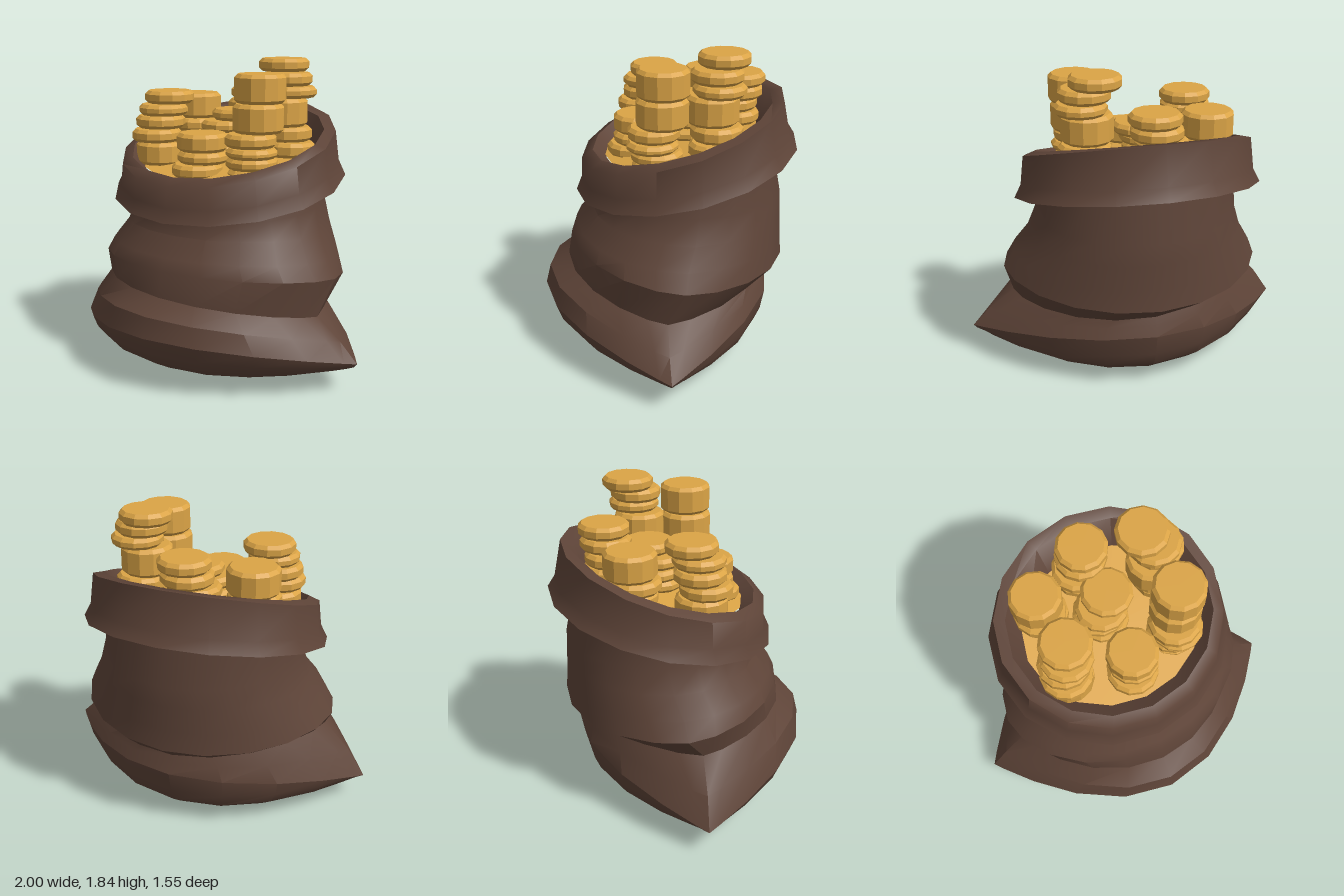
import * as THREE from 'three';
import { toCreasedNormals } from 'three/addons/utils/BufferGeometryUtils.js';

const cloth = new THREE.MeshStandardMaterial({ color: 0x5e4438 });
cloth.name = 'brown cloth';
const gold = new THREE.MeshStandardMaterial({ color: 0xdba446 });
gold.name = 'gold';

// Skin a surface over rings, listed from bottom to top.
// Row: half width, side z, side y, front z, front y, back z, back y, pointiness of the sides, sideways tilt
function loft(rows, segments, crease) {
  const pos = [], index = [];
  for (const [hx, zs, ys, zf, yf, zb, yb, p = 0, tilt = 0] of rows) {
    for (let j = 0; j < segments; j++) {
      const a = (j / segments) * Math.PI * 2;
      const s = Math.sin(a), c = Math.cos(a);
      const w = Math.pow(Math.abs(c), 1 + p);
      pos.push(hx * s, ys + w * ((c > 0 ? yf : yb) - ys) + tilt * s, zs + w * ((c > 0 ? zf : zb) - zs));
    }
  }
  for (let i = 0; i < rows.length - 1; i++) {
    for (let j = 0; j < segments; j++) {
      const k = (j + 1) % segments;
      const a = i * segments + j, b = i * segments + k;
      const c = a + segments, d = b + segments;
      if (rows[i][0] > 0) index.push(a, b, rows[i + 1][0] > 0 ? d : c);
      if (rows[i + 1][0] > 0) index.push(a, d, c);
    }
  }
  const geo = new THREE.BufferGeometry();
  geo.setAttribute('position', new THREE.Float32BufferAttribute(pos, 3));
  geo.setIndex(index);
  return toCreasedNormals(geo, crease);
}

// Bevelled twelve-sided coin
function coinGeometry(r, h) {
  const b = 0.02;
  const profile = [[0, 0], [r - b, 0], [r, b], [r, h - b], [r - b, h], [0, h]];
  return toCreasedNormals(new THREE.LatheGeometry(profile.map(([x, y]) => new THREE.Vector2(x, y)), 12), 0.3);
}

let seed = 7;
function random() {
  seed = (seed * 16807) % 2147483647;
  return seed / 2147483647;
}

export function createModel() {
  const model = new THREE.Group();
  model.name = 'sackOfCoins';
  const add = (name, geo, mat, parent = model) => {
    const mesh = new THREE.Mesh(geo, mat);
    mesh.name = name;
    parent.add(mesh);
    return mesh;
  };

  // Sack: pillow-like base with two corners, a slanting fold, a bulge and a neck
  add('sackBody', loft([
    [0, -0.1, 0.005, -0.1, 0.005, -0.1, 0.005],
    [0.5, 0.03, 0.04, 0.36, 0.03, -0.32, 0.008, 0.5],
    [0.8, 0.07, 0.085, 0.55, 0.075, -0.46, 0.06, 0.7],
    [0.93, 0.09, 0.13, 0.67, 0.145, -0.56, 0.14, 0.85],
    [0.98, 0.1, 0.155, 0.74, 0.23, -0.6, 0.23, 0.95],
    [1, 0.1, 0.17, 0.78, 0.33, -0.625, 0.36, 1, 0.008],
    [0.89, 0.1, 0.31, 0.75, 0.45, -0.6, 0.43, 0.8, -0.02],
    [0.735, 0.09, 0.45, 0.63, 0.53, -0.58, 0.47, 0.35, -0.045],
    [0.795, 0, 0.62, 0.605, 0.68, -0.7, 0.57, 0.15],
    [0.735, -0.02, 0.72, 0.57, 0.75, -0.69, 0.7, 0.05],
    [0.655, -0.07, 0.84, 0.475, 0.86, -0.685, 0.85],
    [0.605, -0.1, 0.99, 0.455, 0.95, -0.68, 0.97],
    [0.59, -0.1, 1.2, 0.45, 1.05, -0.63, 1.22],
    [0.6, -0.1, 1.3, 0.455, 1.12, -0.62, 1.46],
  ], 20, 0.5), cloth);

  // Turned-down cuff: lining, lower hem, rounded lip and inner wall
  add('sackCuff', loft([
    [0.61, -0.1, 1.31, 0.465, 1.12, -0.63, 1.47],
    [0.735, -0.1, 1.1, 0.565, 0.95, -0.775, 1.26],
    [0.695, -0.1, 1.18, 0.53, 1.03, -0.73, 1.33],
    [0.675, -0.1, 1.35, 0.525, 1.155, -0.685, 1.55],
    [0.61, -0.09, 1.37, 0.46, 1.2, -0.615, 1.535],
    [0.53, -0.08, 1.24, 0.38, 1.15, -0.53, 1.33],
  ], 16, 1.0), cloth).position.x = -0.015;

  // Heaped gold filling the mouth
  add('goldBed', loft([
    [0.535, -0.08, 1.255, 0.385, 1.165, -0.535, 1.345],
    [0, -0.08, 1.26, -0.08, 1.26, -0.08, 1.26],
  ], 16, 0.65), gold).position.x = -0.015;

  // Coin stacks: top x, top z, base y, slide of the lower coins in x and z, heights from the bottom up
  const stacks = [
    [-0.38, -0.29, 1.28, 0, 0.04, [0.09, 0.08, 0.16]],
    [-0.03, -0.43, 1.34, -0.03, 0.03, [0.08, 0.08, 0.08, 0.08]],
    [0.27, -0.28, 1.27, 0.07, 0.07, [0.09, 0.09, 0.17, 0.07, 0.08, 0.08]],
    [0, -0.17, 1.26, -0.09, 0.06, [0.07, 0.07, 0.07, 0.07]],
    [-0.35, 0.05, 1.2, -0.04, 0.07, [0.14, 0.08, 0.08, 0.07, 0.08]],
    [-0.01, 0.18, 1.17, 0, 0.03, [0.08, 0.07, 0.11]],
    [0.32, 0.07, 1.16, -0.02, 0.06, [0.07, 0.07, 0.06, 0.08, 0.17, 0.17]],
  ];
  for (const [x, z, base, sx, sz, heights] of stacks) {
    const stack = new THREE.Group();
    stack.name = 'coinStack';
    model.add(stack);
    let y = base;
    heights.forEach((h, i) => {
      const loose = i === heights.length - 1 ? 0 : 1;
      const slide = loose * (0.4 + 0.6 * random());
      const coin = add('coin', coinGeometry(0.152, h - 0.004), gold, stack);
      coin.position.set(
        x + sx * slide + loose * (random() - 0.5) * 0.05,
        y,
        z + sz * slide + loose * (random() - 0.5) * 0.05,
      );
      coin.rotation.y = random() * Math.PI;
      y += h;
    });
  }
  return model;
}
